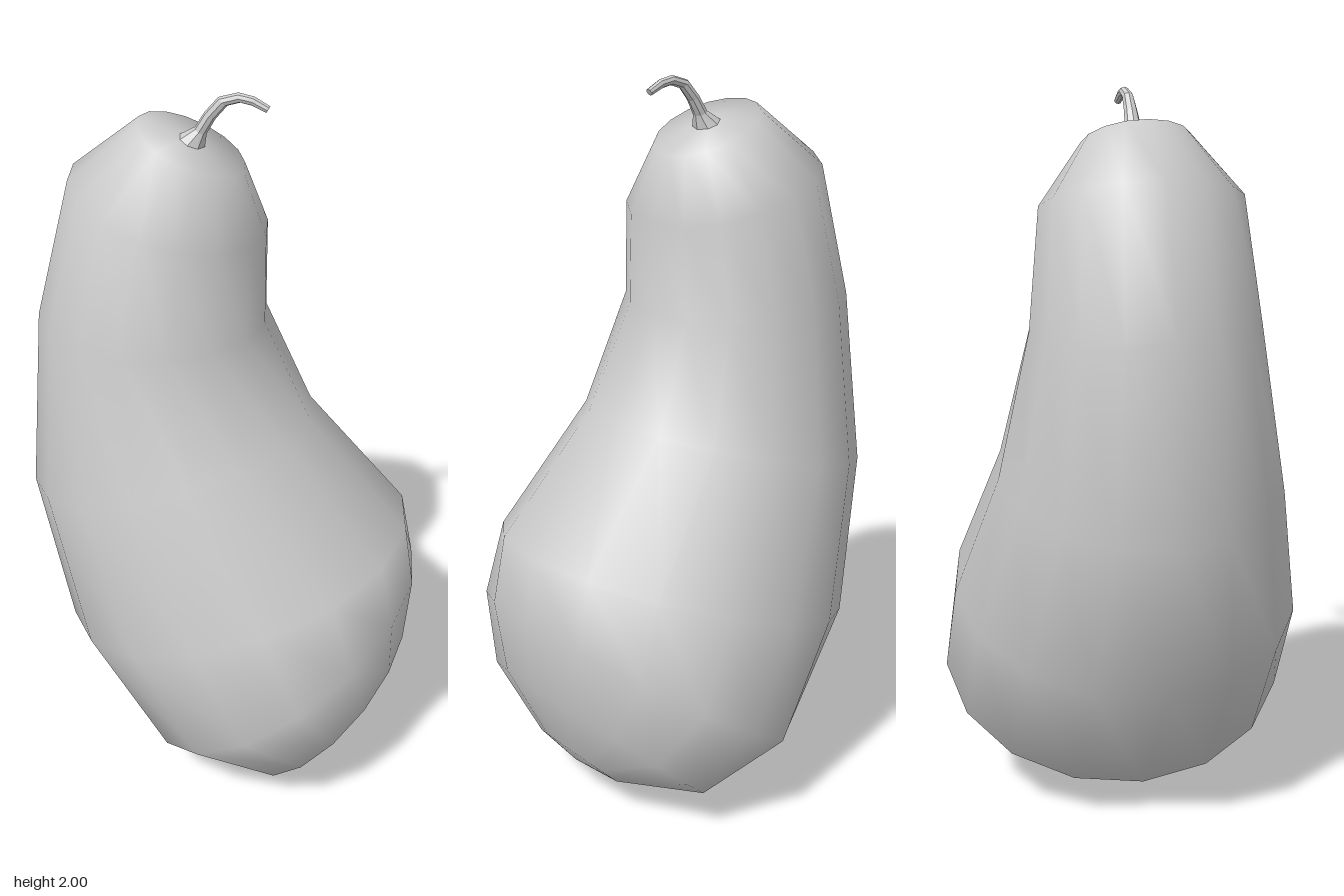
import * as THREE from 'three';

// Skin over tilted elliptical rings [leftX, leftY, rightX, rightY, halfDepth],
// listed from top to bottom and closed by a point at each end.
function loft(rings, sides, top, bottom) {
  const pos = [...top, 0];
  const index = [];
  for (const [lx, ly, rx, ry, w] of rings) {
    for (let j = 0; j < sides; j++) {
      const t = (j / sides) * Math.PI * 2;
      const c = Math.cos(t) / 2;
      pos.push((lx + rx) / 2 + (rx - lx) * c, (ly + ry) / 2 + (ry - ly) * c, w * Math.sin(t));
    }
  }
  pos.push(...bottom, 0);
  const last = pos.length / 3 - 1;
  const id = (i, j) => 1 + i * sides + (j % sides);
  const end = rings.length - 1;
  for (let j = 0; j < sides; j++) {
    index.push(0, id(0, j + 1), id(0, j));
    for (let i = 0; i < end; i++) {
      const a = id(i, j), b = id(i + 1, j), c = id(i, j + 1), d = id(i + 1, j + 1);
      index.push(a, c, b, c, d, b);
    }
    index.push(last, id(end, j), id(end, j + 1));
  }
  const geo = new THREE.BufferGeometry();
  geo.setAttribute('position', new THREE.Float32BufferAttribute(pos, 3));
  geo.setIndex(index);
  geo.computeVertexNormals();
  return geo;
}

export function createModel() {
  const group = new THREE.Group();
  group.name = 'gourd';

  // Body: narrow upright neck bending into a round belly
  const body = new THREE.Mesh(
    loft([
      [-0.23, 1.92, 0.04, 1.80, 0.145],
      [-0.41, 1.78, 0.10, 1.63, 0.268],
      [-0.51, 1.40, 0.10, 1.39, 0.305],
      [-0.55, 0.89, 0.23, 1.11, 0.385],
      [-0.45, 0.46, 0.51, 0.80, 0.485],
      [-0.20, 0.11, 0.54, 0.62, 0.50],
      [0.09, 0.005, 0.525, 0.42, 0.385],
      [0.31, 0.07, 0.45, 0.22, 0.15],
    ], 16, [-0.10, 1.875], [0.39, 0.135]),
    new THREE.MeshStandardMaterial({ color: 0xcccccc })
  );
  body.name = 'body';
  group.add(body);

  // Stem: flared foot, curling over to the right
  const stem = new THREE.Mesh(
    loft([
      [0.105, 1.972, 0.095, 1.955, 0.01],
      [0.065, 1.993, 0.058, 1.97, 0.011],
      [0.025, 2.0, 0.03, 1.975, 0.013],
      [-0.025, 1.985, -0.002, 1.965, 0.015],
      [-0.06, 1.945, -0.032, 1.93, 0.018],
      [-0.085, 1.905, -0.055, 1.89, 0.022],
      [-0.13, 1.88, -0.06, 1.855, 0.042],
    ], 8, [0.1, 1.963], [-0.095, 1.86]),
    new THREE.MeshStandardMaterial({ color: 0xcccccc, flatShading: true })
  );
  stem.name = 'stem';
  group.add(stem);

  return group;
}
